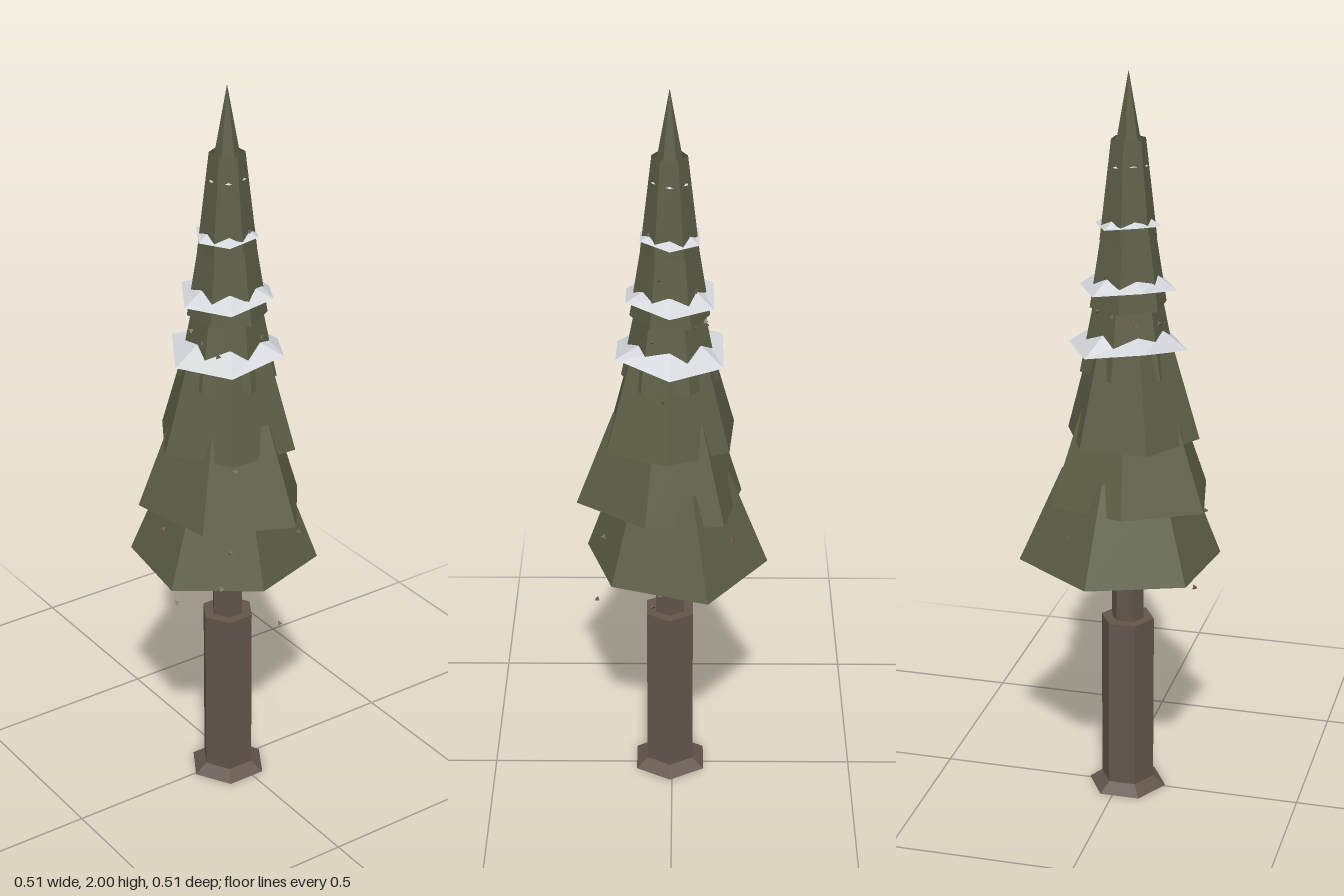
import * as THREE from 'three';

const CX = -0.02, CZ = 0.006; // trunk axis
const material = (color, side = THREE.FrontSide) =>
  new THREE.MeshStandardMaterial({ color, flatShading: true, side });

// Ring of six [x, y, z] corners around the axis, starting at angle `turn`.
const hexRing = (radius, y, turn = 0, lift = () => 0) =>
  Array.from({ length: 6 }, (_, i) => {
    const a = turn + i * Math.PI / 3;
    return [CX + radius * Math.cos(a), y + lift(i), CZ + radius * Math.sin(a)];
  });

// Skirt of flat panels joining a lower ring to an upper ring.
function skirt(lower, upper) {
  const p = [];
  lower.forEach((a, i) => {
    const j = (i + 1) % lower.length;
    p.push(...lower[j], ...a, ...upper[i], ...lower[j], ...upper[i], ...upper[j]);
  });
  const g = new THREE.BufferGeometry();
  g.setAttribute('position', new THREE.Float32BufferAttribute(p, 3));
  g.computeVertexNormals();
  return g;
}

export function createModel() {
  const tree = new THREE.Group();
  tree.name = 'snowyPine';
  const bark = material(0x62554b);
  const needles = material(0x5c5e46, THREE.DoubleSide);
  const snow = material(0xd3d7db, THREE.DoubleSide);
  const coneBrown = material(0x75604f);

  const add = (geometry, mat, name, parent = tree) => {
    const mesh = new THREE.Mesh(geometry, mat);
    mesh.name = name;
    parent.add(mesh);
    return mesh;
  };

  // Trunk: spreading foot, thick lower part, thin upper part
  const trunkPart = (name, rTop, rBottom, y0, y1) => {
    const g = new THREE.CylinderGeometry(rTop, rBottom, y1 - y0, 6);
    g.rotateY(Math.PI / 6);
    add(g, bark, name).position.set(CX, (y0 + y1) / 2, CZ);
  };
  trunkPart('trunkFoot', 0.07, 0.108, 0, 0.028);
  trunkPart('lowerTrunk', 0.073, 0.073, 0.01, 0.505);
  trunkPart('upperTrunk', 0.044, 0.044, 0.5, 1.5);

  // Lower branch tiers have uneven hems, given as [x, z] corners
  const hems = [
    [[0.254, -0.095], [0.167, 0.159], [-0.058, 0.23], [-0.256, 0.091], [-0.219, -0.166], [0.029, -0.257]],
    [[0.163, 0.07], [0.026, 0.254], [-0.2, 0.155], [-0.246, -0.08], [-0.05, -0.186], [0.153, -0.137]],
    [[0.145, 0.01], [0.08, 0.172], [-0.11, 0.163], [-0.214, 0.003], [-0.113, -0.165], [0.07, -0.15]],
  ];
  const upperRadii = [0.128, 0.104, 0.076, 0.046];
  const upperTurns = [0.62, 0.5, 0.55, 0.52];
  const branches = new THREE.Group();
  branches.name = 'branches';
  tree.add(branches);
  for (let i = 0; i < 7; i++) {
    const y = 0.685 + i * 0.1763;
    const lower = i < 3 ? hems[i].map(([x, z]) => [x, y, z])
      : hexRing(upperRadii[i - 3], y, upperTurns[i - 3]);
    const top = i === 6 ? 2 : y + 0.26, k = i === 6 ? 0 : 0.6;
    const upper = lower.map(([x, , z]) => [CX + (x - CX) * k, top, CZ + (z - CZ) * k]);
    add(skirt(lower, upper), needles, 'branchTier' + (i + 1), branches);
  }

  // Snow collars with a wavy outer rim: [outer radius, inner radius, y, rise]
  const collars = [[0.16, 0.093, 1.277, 0.048], [0.13, 0.08, 1.436, 0.036],
    [0.087, 0.056, 1.602, 0.022], [0.052, 0.036, 1.757, 0.01]];
  collars.forEach(([outer, inner, y, rise], n) => {
    const wave = i => (i % 3 === 1 ? rise * 0.5 : 0);
    add(skirt(hexRing(outer, y, 0, wave), hexRing(inner, y + rise)), snow, 'snowCollar' + (n + 1));
  });

  // Tiny cones: a few hanging low, the rest scattered around the crown
  const spots = [[-0.2, 0.6, 0.03], [-0.23, 0.83, 0.02], [0.14, 0.67, -0.07], [0.145, 0.61, 0.05],
    [0.2, 0.68, 0.03], [0.01, 0.55, 0.205], [-0.13, 0.8, 0.18], [0.09, 0.795, 0.18],
    [-0.16, 0.7, 0.18], [-0.1, 1.02, 0.16], [0.1, 0.79, -0.16]];
  let seed = 7;
  const random = () => (seed = (seed * 16807) % 2147483647) / 2147483647;
  for (let i = 0; i < 32; i++) {
    const y = 1.17 + 0.5 * random(), a = i * 2.4;
    const r = 0.13 - (y - 1.17) * 0.15 - 0.02 * random();
    spots.push([CX + r * Math.cos(a), y, CZ + r * Math.sin(a)]);
  }
  const coneGeometry = new THREE.TetrahedronGeometry(0.009);
  const cones = new THREE.Group();
  cones.name = 'pineCones';
  tree.add(cones);
  spots.forEach((p, i) => {
    const cone = add(coneGeometry, coneBrown, 'pineCone', cones);
    cone.position.set(...p);
    cone.rotation.set(i, i * 1.7, 0);
  });
  return tree;
}
